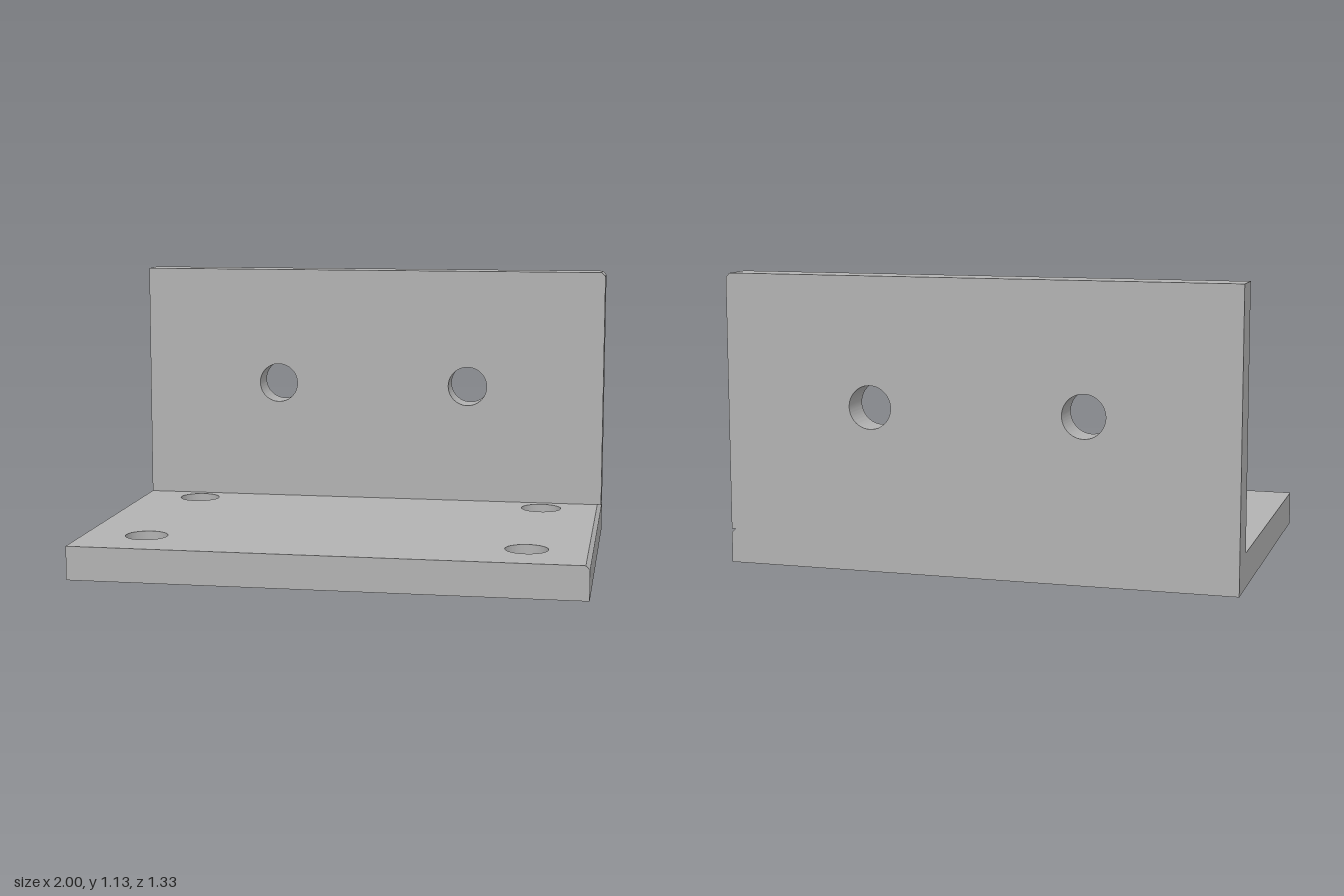
import * as THREE from 'three';
import { toCreasedNormals } from 'three/addons/utils/BufferGeometryUtils.js';

const T = 0.1333; // plate thickness
const D = 0.6667; // half depth of the base
const H = 1.1333; // overall height
const C = 0.016;  // chamfer on the left (+x) end
const R = 0.0835; // bolt hole radius

function plateShape(corners, holes) {
  const shape = new THREE.Shape(corners.map(([x, y]) => new THREE.Vector2(x, y)));
  for (const [x, y] of holes) {
    shape.holes.push(new THREE.Path().absarc(x, y, R, 0, Math.PI * 2, true));
  }
  return shape;
}

function extrude(shape, steps) {
  return new THREE.ExtrudeGeometry(shape, { depth: T, steps, bevelEnabled: false, curveSegments: 48 });
}

export function createModel() {
  const group = new THREE.Group();
  group.name = 'angleBracket';
  const steel = new THREE.MeshStandardMaterial({ color: 0xb2b2b2 });
  steel.name = 'steel grey';

  const add = (name, geometry) => {
    const mesh = new THREE.Mesh(toCreasedNormals(geometry, Math.PI / 6), steel);
    mesh.name = name;
    group.add(mesh);
  };

  // Base plate with four holes; the middle ring and top end edge form the chamfer
  const base = extrude(plateShape(
    [[-1, -D], [1, -D], [1, D], [-1, D]],
    [[-0.75, -0.417], [0.75, -0.417], [-0.75, 0.417], [0.75, 0.417]]
  ), 2);
  const p = base.attributes.position;
  for (let i = 0; i < p.count; i++) {
    const z = p.getZ(i);
    if (Math.abs(z - T / 2) < 1e-4) p.setZ(i, T - C);
    else if (z > T - 1e-4 && p.getX(i) > 0.999) p.setX(i, 1 - C);
  }
  base.rotateX(-Math.PI / 2);
  add('basePlate', base);

  // Upright plate with two holes and one chamfered top corner
  const wall = extrude(plateShape(
    [[-1, T], [1, T], [1, H - C], [1 - C, H], [-1, H]],
    [[-0.417, 0.635], [0.417, 0.635]]
  ), 1);
  wall.translate(0, 0, -D);
  add('uprightPlate', wall);

  return group;
}
